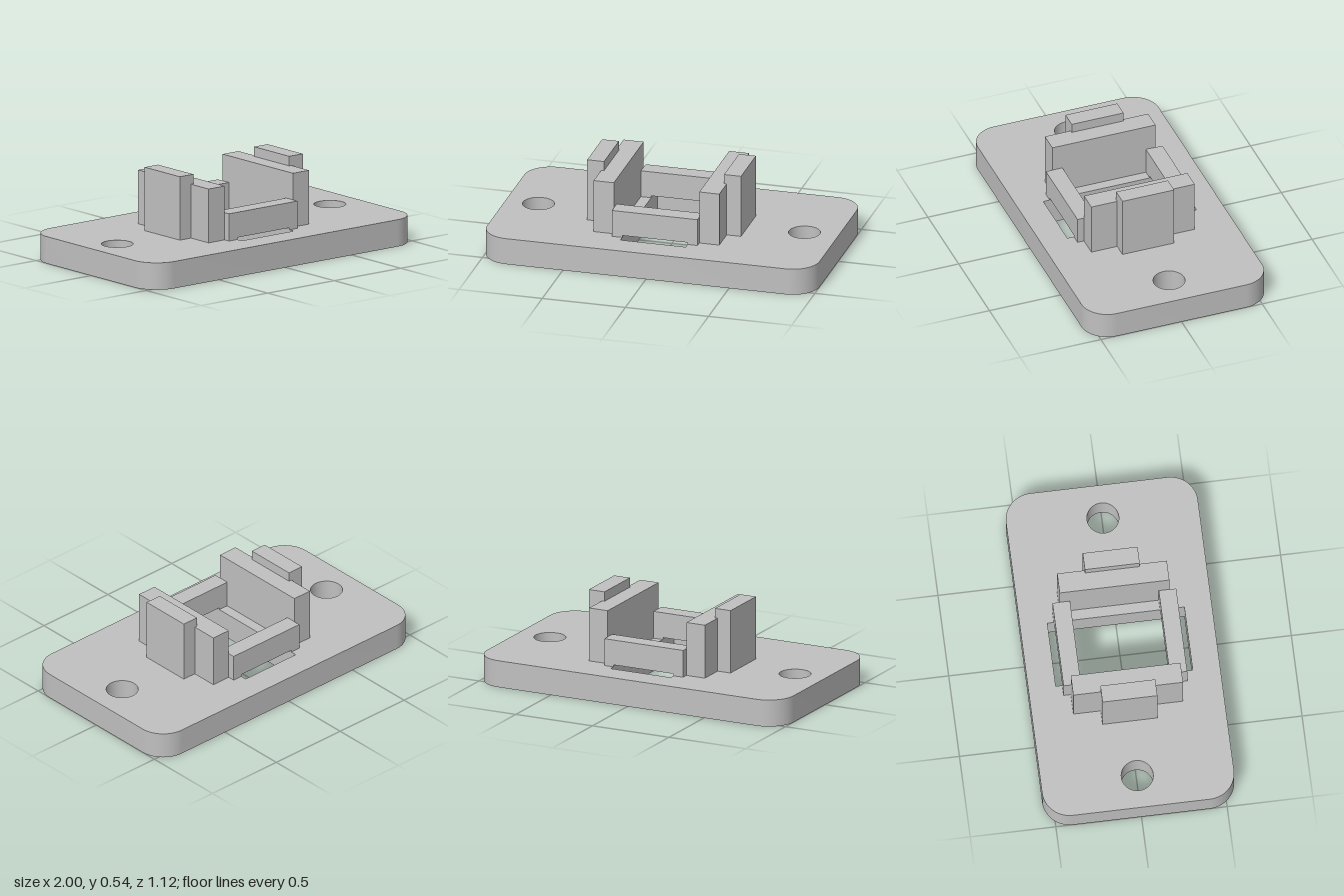
import * as THREE from 'three';
import { toCreasedNormals } from 'three/addons/utils/BufferGeometryUtils.js';

export function createModel() {
  const model = new THREE.Group();
  const grey = new THREE.MeshStandardMaterial({ color: 0xc0c0c0 });
  grey.name = 'plainGrey';
  const T = 0.16; // plate thickness

  // Box given by its limits on each axis
  function block(name, x0, x1, y0, y1, z0, z1, parent = model) {
    const mesh = new THREE.Mesh(new THREE.BoxGeometry(x1 - x0, y1 - y0, z1 - z0), grey);
    mesh.position.set((x0 + x1) / 2, (y0 + y1) / 2, (z0 + z1) / 2);
    mesh.name = name;
    parent.add(mesh);
  }

  // Rounded base plate with a rectangular window and two screw holes
  const w = 1, d = 0.56, r = 0.16;
  const outline = new THREE.Shape();
  outline.absarc(w - r, d - r, r, 0, Math.PI / 2);
  outline.absarc(-w + r, d - r, r, Math.PI / 2, Math.PI);
  outline.absarc(-w + r, -d + r, r, Math.PI, Math.PI * 1.5);
  outline.absarc(w - r, -d + r, r, Math.PI * 1.5, Math.PI * 2);
  outline.closePath();
  const windowHole = new THREE.Path();
  windowHole.moveTo(-0.198, -0.4).lineTo(-0.198, 0.4).lineTo(0.194, 0.4).lineTo(0.194, -0.4).closePath();
  outline.holes.push(windowHole);
  for (const x of [-0.803, 0.797]) {
    outline.holes.push(new THREE.Path().absarc(x, 0, 0.093, 0, Math.PI * 2, true));
  }
  const plateGeometry = new THREE.ExtrudeGeometry(outline, { depth: T, bevelEnabled: false, curveSegments: 20 });
  plateGeometry.rotateX(-Math.PI / 2);
  const plate = new THREE.Mesh(toCreasedNormals(plateGeometry, 0.6), grey);
  plate.name = 'basePlate';
  model.add(plate);

  // Side walls and the taller backing ribs outside them
  block('rightWall', -0.381, -0.26, T, 0.48, -0.32, 0.32);
  block('leftWall', 0.254, 0.374, T, 0.48, -0.32, 0.32);
  block('rightRib', -0.465, -0.364, T, 0.537, -0.16, 0.16);
  block('leftRib', 0.358, 0.46, T, 0.537, -0.16, 0.16);

  // Low cross bars, relieved slightly where they span the window
  for (const [name, z0, z1] of [['frontBar', 0.258, 0.36], ['backBar', -0.362, -0.26]]) {
    const bar = new THREE.Shape();
    bar.moveTo(-0.26, T).lineTo(-0.198, T).lineTo(-0.198, 0.172).lineTo(0.194, 0.172)
      .lineTo(0.194, T).lineTo(0.254, T).lineTo(0.254, 0.322).lineTo(-0.26, 0.322).closePath();
    const mesh = new THREE.Mesh(new THREE.ExtrudeGeometry(bar, { depth: z1 - z0, bevelEnabled: false }), grey);
    mesh.position.z = z0;
    mesh.name = name;
    model.add(mesh);
  }
  return model;
}
